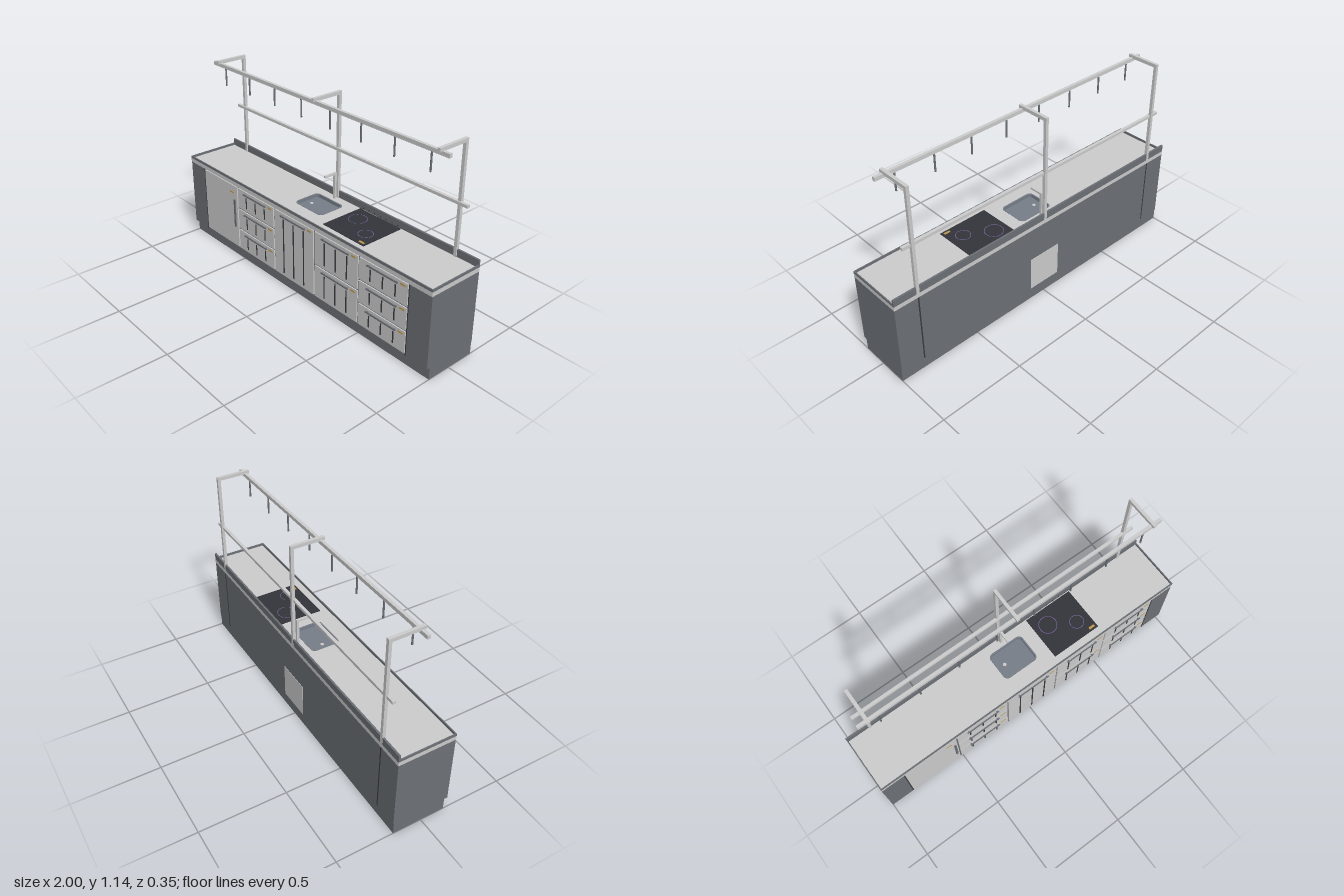
import * as THREE from 'three';

const mat = (color) => new THREE.MeshStandardMaterial({ color });
const LIGHT = mat(0xcccccc), DARK = mat(0x6c7076), BLACK = mat(0x3a3b3f), GLASS = mat(0x33333b);
const BASIN = mat(0x767d88), GOLD = mat(0xc09a4a), PURPLE = mat(0x8468a8);

export function createModel() {
  const root = new THREE.Group();
  root.name = 'kitchenCounter';

  const add = (name, geo, material, parent = root) => {
    const m = new THREE.Mesh(geo, material);
    m.name = name;
    parent.add(m);
    return m;
  };
  // Box given by its extents on each axis
  const box = (name, x0, x1, y0, y1, z0, z1, material = LIGHT, parent = root) => {
    const m = add(name, new THREE.BoxGeometry(x1 - x0, y1 - y0, z1 - z0), material, parent);
    m.position.set((x0 + x1) / 2, (y0 + y1) / 2, (z0 + z1) / 2);
    return m;
  };
  // Rounded rectangle in x and -z, for shapes laid flat
  const rounded = (Type, x0, x1, z0, z1, r) => {
    const s = new Type(), a = -z1, b = -z0;
    s.absarc(x1 - r, b - r, r, 0, Math.PI / 2);
    s.absarc(x0 + r, b - r, r, Math.PI / 2, Math.PI);
    s.absarc(x0 + r, a + r, r, Math.PI, Math.PI * 1.5);
    s.absarc(x1 - r, a + r, r, Math.PI * 1.5, Math.PI * 2);
    s.closePath();
    return s;
  };
  const slab = (name, shape, y0, y1, material) => {
    const g = new THREE.ExtrudeGeometry(shape, { depth: y1 - y0, bevelEnabled: false, curveSegments: 8 });
    g.rotateX(-Math.PI / 2);
    add(name, g, material).position.y = y0;
  };

  // Carcass, plinth and end panels
  box('plinth', -1, 1, 0, 0.072, -0.168, 0.143, DARK);
  box('carcass', -1, 1, 0.072, 0.488, -0.171, 0.157, DARK);
  for (const s of [-1, 1]) {
    const c = s * 0.93;
    box('endPanel', c - 0.07, c + 0.07, 0.072, 0.488, 0.157, 0.163, DARK);
    box('frontGap', s * 0.857 - 0.003, s * 0.857 + 0.003, 0.07, 0.488, 0.157, 0.1635, BLACK);
    box('backGap', s * 0.857 - 0.004, s * 0.857 + 0.004, 0.07, 0.488, -0.1718, -0.17, BLACK);
  }
  box('backPlate', -0.105, 0.105, 0.075, 0.285, -0.1725, -0.17);

  // Worktop with the sink opening
  const top = new THREE.Shape();
  top.moveTo(-1, -0.165).lineTo(1, -0.165).lineTo(1, 0.172).lineTo(-1, 0.172).closePath();
  top.holes.push(rounded(THREE.Path, -0.107, 0.107, -0.104, 0.061, 0.025));
  slab('worktop', top, 0.488, 0.513, LIGHT);
  box('frontLip', -1, 1, 0.513, 0.527, 0.159, 0.165, DARK);
  for (const s of [-1, 1]) box('sideLip', s * 0.997 - 0.003, s * 0.997 + 0.003, 0.513, 0.527, -0.165, 0.165, DARK);
  box('splashback', -1, 1, 0.513, 0.555, -0.172, -0.161, DARK);
  for (let i = 0; i < 7; i++) {
    const x = 0.21 + i * 0.043;
    box('splashMark', x - 0.003, x + 0.003, 0.519, 0.527, -0.162, -0.1595, BLACK);
  }

  // Sink
  const rim = rounded(THREE.Shape, -0.111, 0.111, -0.108, 0.065, 0.028);
  rim.holes.push(rounded(THREE.Path, -0.103, 0.103, -0.1, 0.057, 0.022));
  slab('sinkRim', rim, 0.493, 0.515, BASIN);
  slab('sinkFloor', rounded(THREE.Shape, -0.106, 0.106, -0.103, 0.06, 0.024), 0.489, 0.496, BASIN);
  add('drain', new THREE.CylinderGeometry(0.01, 0.01, 0.003, 20), LIGHT).position.set(-0.06, 0.497, -0.02);

  // Tap
  box('tapStem', -0.007, 0.007, 0.513, 0.672, -0.146, -0.132);
  box('tapSpout', -0.007, 0.007, 0.66, 0.672, -0.146, -0.062);

  // Hob
  box('hob', 0.19, 0.495, 0.513, 0.517, -0.155, 0.115, GLASS);
  for (const [x, z, r] of [[0.272, -0.06, 0.053], [0.415, 0.022, 0.042]]) {
    const ring = add('hobRing', new THREE.RingGeometry(r - 0.003, r, 40), PURPLE);
    ring.rotation.x = -Math.PI / 2;
    ring.position.set(x, 0.5178, z);
  }
  box('hobDisplay', 0.445, 0.482, 0.517, 0.518, 0.09, 0.104, GOLD);

  // Drawer or door front with bar handle, three slots and a small indicator
  const front = (name, x0, x1, y0, y1) => {
    const g = new THREE.Group(), c = (x0 + x1) / 2;
    g.name = name;
    root.add(g);
    box('panel', x0, x1, y0, y1, 0.157, 0.164, LIGHT, g);
    const hy = y1 - 0.017;
    box('handle', c - 0.105, c + 0.105, hy - 0.004, hy + 0.004, 0.169, 0.175, DARK, g);
    for (const s of [-1, 1]) box('handleFoot', c + s * 0.095 - 0.004, c + s * 0.095 + 0.004, hy - 0.003, hy + 0.003, 0.164, 0.17, DARK, g);
    for (const d of [-0.086, 0, 0.086]) box('slot', c + d - 0.004, c + d + 0.004, y0 + 0.02, y1 - 0.037, 0.163, 0.166, BLACK, g);
    box('indicator', x1 - 0.05, x1 - 0.016, hy - 0.005, hy + 0.005, 0.163, 0.1655, GOLD, g);
  };
  const rows3 = [[0.355, 0.482], [0.217, 0.345], [0.08, 0.207]];
  for (const [y0, y1] of rows3) {
    front('leftDrawer', -0.512, -0.178, y0, y1);
    front('rightDrawer', 0.518, 0.85, y0, y1);
  }
  front('middleDoor', -0.168, 0.166, 0.08, 0.482);
  for (const [y0, y1] of [[0.286, 0.482], [0.08, 0.276]]) front('deepDrawer', 0.176, 0.508, y0, y1);

  // Tall door with vertical handle
  box('fridgeDoor', -0.853, -0.522, 0.08, 0.482, 0.157, 0.164);
  box('fridgeHandle', -0.546, -0.533, 0.217, 0.398, 0.169, 0.175, DARK);
  for (const y of [0.235, 0.38]) box('fridgeHandleFoot', -0.543, -0.536, y - 0.005, y + 0.005, 0.164, 0.17, DARK);
  box('fridgeIndicator', -0.59, -0.555, 0.43, 0.44, 0.163, 0.1655, GOLD);

  // Overhead frame: posts, arms, rails and hanging rods
  for (const x of [-0.857, 0, 0.857]) {
    box('post', x - 0.009, x + 0.009, 0.513, 1.142, -0.173, -0.155);
    box('arm', x - 0.009, x + 0.009, 1.122, 1.142, -0.172, 0.025);
  }
  box('topRail', -0.913, 0.913, 1.106, 1.127, -0.004, 0.014);
  box('lightStrip', -0.91, 0.91, 1.1045, 1.106, -0.002, 0.012, PURPLE);
  box('middleRail', -0.913, 0.913, 0.802, 0.818, -0.165, -0.147);
  for (let i = 0; i < 8; i++) {
    const rod = add('hangingRod', new THREE.CylinderGeometry(0.005, 0.005, 0.108, 12), DARK);
    rod.position.set(-0.802 + i * 0.2291, 1.054, 0.005);
  }
  return root;
}
